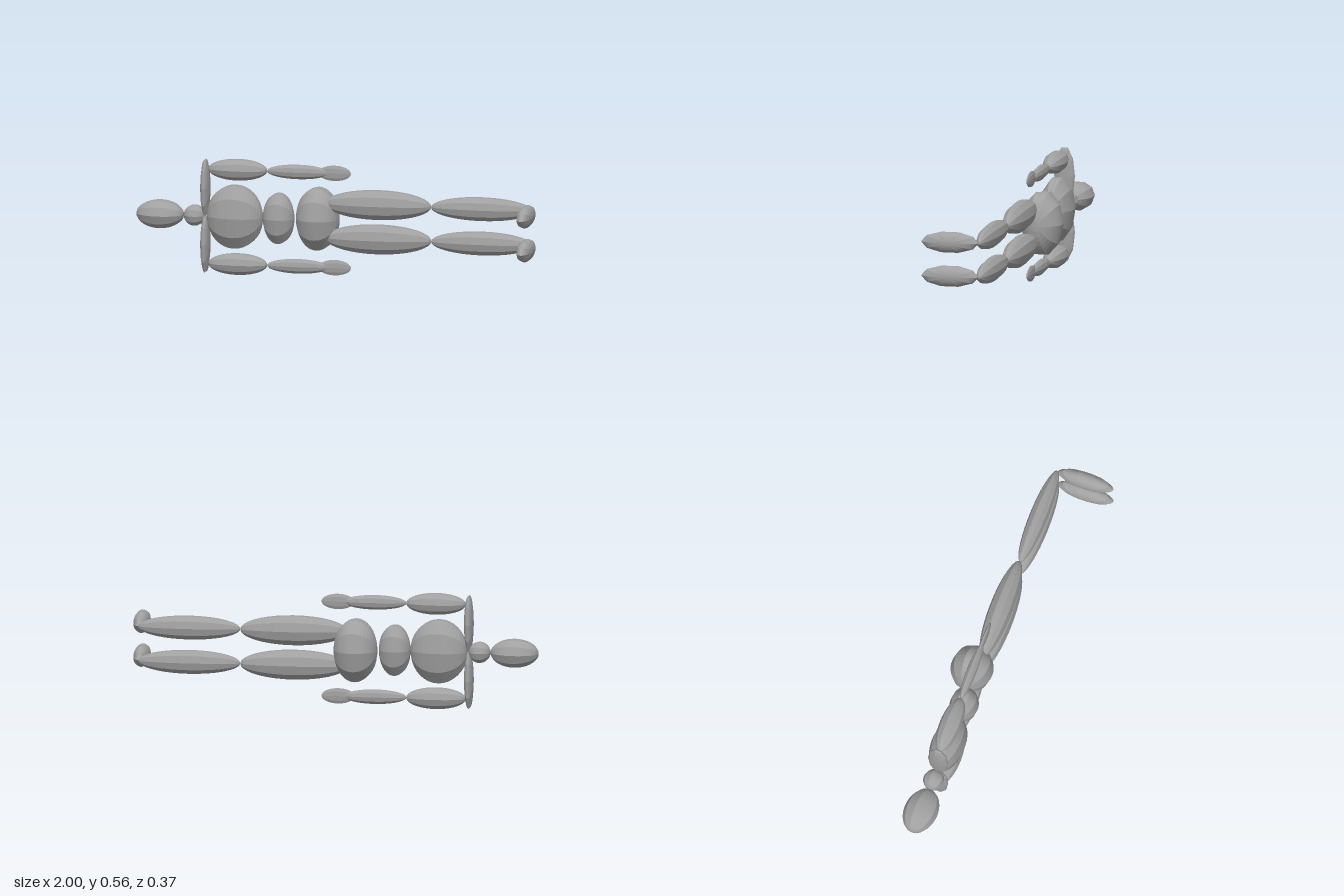
import * as THREE from 'three';

export function createModel() {
  const model = new THREE.Group();
  const grey = new THREE.MeshStandardMaterial({ color: 0xa0a0a0, flatShading: true });
  grey.name = 'plain grey';

  // Faceted ball: ten sides around x, with its poles on the x axis
  const ball = new THREE.SphereGeometry(1, 10, 18);
  ball.rotateY(Math.PI / 2);
  ball.rotateZ(Math.PI / 2);

  const midY = 0.284;
  function part(name, [x, y, z], [rx, ry, rz], turn = 0) {
    const mesh = new THREE.Mesh(ball, grey);
    mesh.name = name;
    mesh.position.set(x, midY + y, z);
    mesh.scale.set(rx, ry, rz);
    mesh.rotation.y = turn;
    model.add(mesh);
  }

  // Head and trunk, lying along x
  part('head', [-0.883, 0, -0.018], [0.117, 0.07, 0.082]);
  part('neck', [-0.713, 0, -0.026], [0.053, 0.052, 0.05]);
  part('chest', [-0.515, 0, -0.035], [0.139, 0.161, 0.081]);
  part('abdomen', [-0.3, 0, -0.045], [0.077, 0.129, 0.07]);
  part('pelvis', [-0.115, 0, -0.084], [0.106, 0.159, 0.104]);

  // Limbs, mirrored above and below the middle
  for (const [side, s] of [['upper', 1], ['lower', -1]]) {
    part(side + 'Shoulder', [-0.66, s * 0.138, -0.025], [0.022, 0.145, 0.052]);
    part(side + 'UpperArm', [-0.5, s * 0.231, -0.031], [0.145, 0.053, 0.053], 0.05);
    part(side + 'Forearm', [-0.204, s * 0.231, -0.047], [0.152, 0.036, 0.025], 0.06);
    part(side + 'Hand', [-0.024, s * 0.231, -0.057], [0.08, 0.039, 0.011], 0.05);
    part(side + 'Thigh', [0.19, s * 0.084, -0.066], [0.261, 0.074, 0.057], 0.065);
    part(side + 'Shin', [0.7, s * 0.084, -0.089], [0.249, 0.059, 0.045], 0.045);
    part(side + 'Foot', [0.957, s * 0.083, 0.045], [0.039, 0.0525, 0.142], 0.07);
  }

  return model;
}
